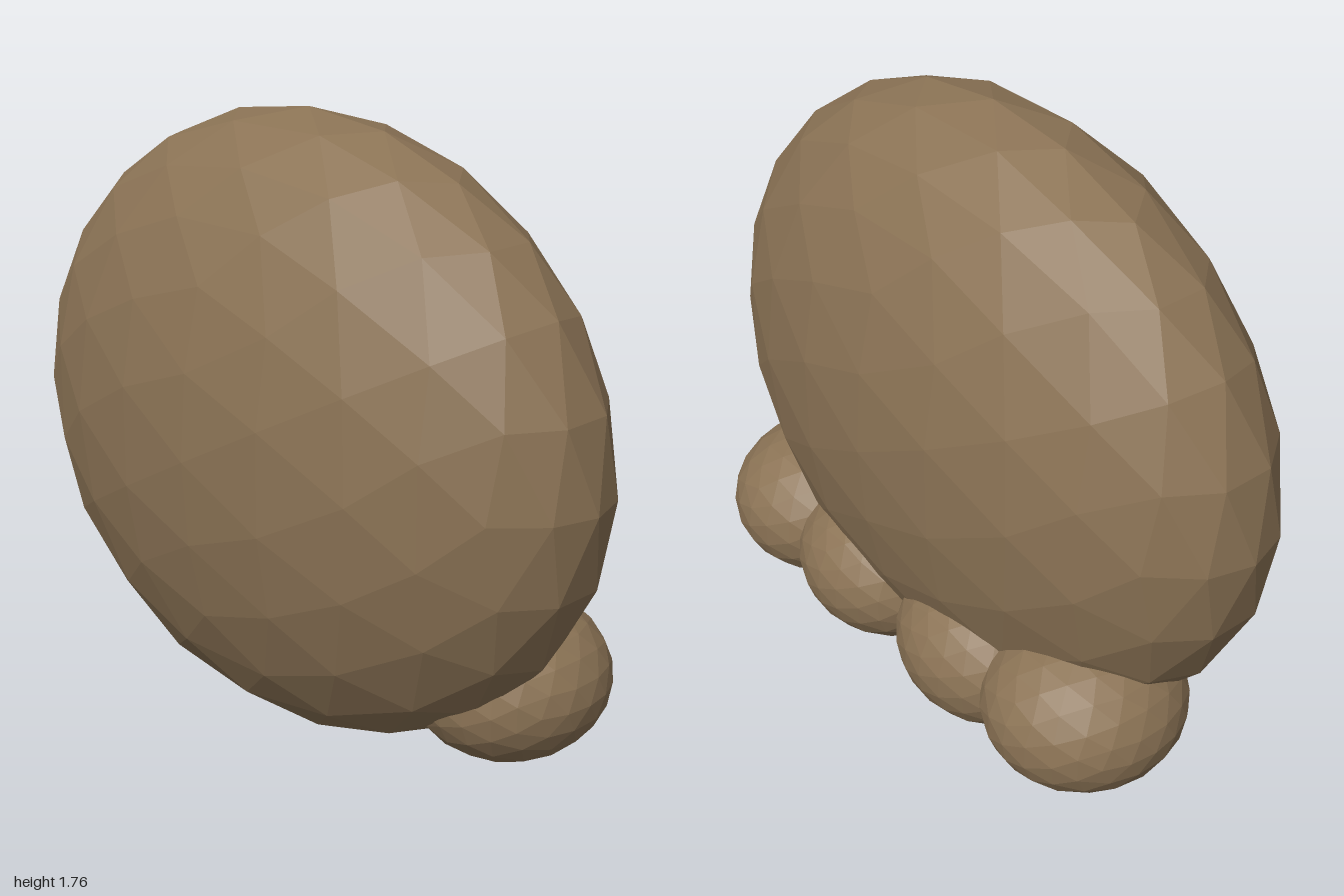
import * as THREE from 'three';

// Faceted ball: an icosahedron halved twice, so the facets stay even
function facetedBall() {
  const once = new THREE.IcosahedronGeometry(1, 1).attributes.position;
  const order = Array.from({ length: once.count }, (_, i) => i);
  return new THREE.PolyhedronGeometry(Array.from(once.array), order, 1, 1);
}

export function createModel() {
  const group = new THREE.Group();
  const brown = new THREE.MeshStandardMaterial({ color: 0x8b7355, flatShading: true });
  brown.name = 'earthBrown';

  function addEllipsoid(name, center, radii) {
    const geometry = facetedBall();
    geometry.scale(...radii);
    geometry.computeVertexNormals();
    const mesh = new THREE.Mesh(geometry, brown);
    mesh.name = name;
    mesh.position.set(...center);
    group.add(mesh);
  }

  // Large flattened body
  addEllipsoid('body', [0, 0.88, 0], [1, 0.88, 0.47]);

  // Row of lumps along the lower back, mirrored left and right
  for (const [side, s] of [['left', 1], ['right', -1]]) {
    addEllipsoid(side + 'OuterLump', [s * 0.6, 0.262, -0.177], [0.28, 0.232, 0.293]);
    addEllipsoid(side + 'InnerLump', [s * 0.24, 0.25, -0.225], [0.28, 0.225, 0.245]);
  }
  return group;
}
